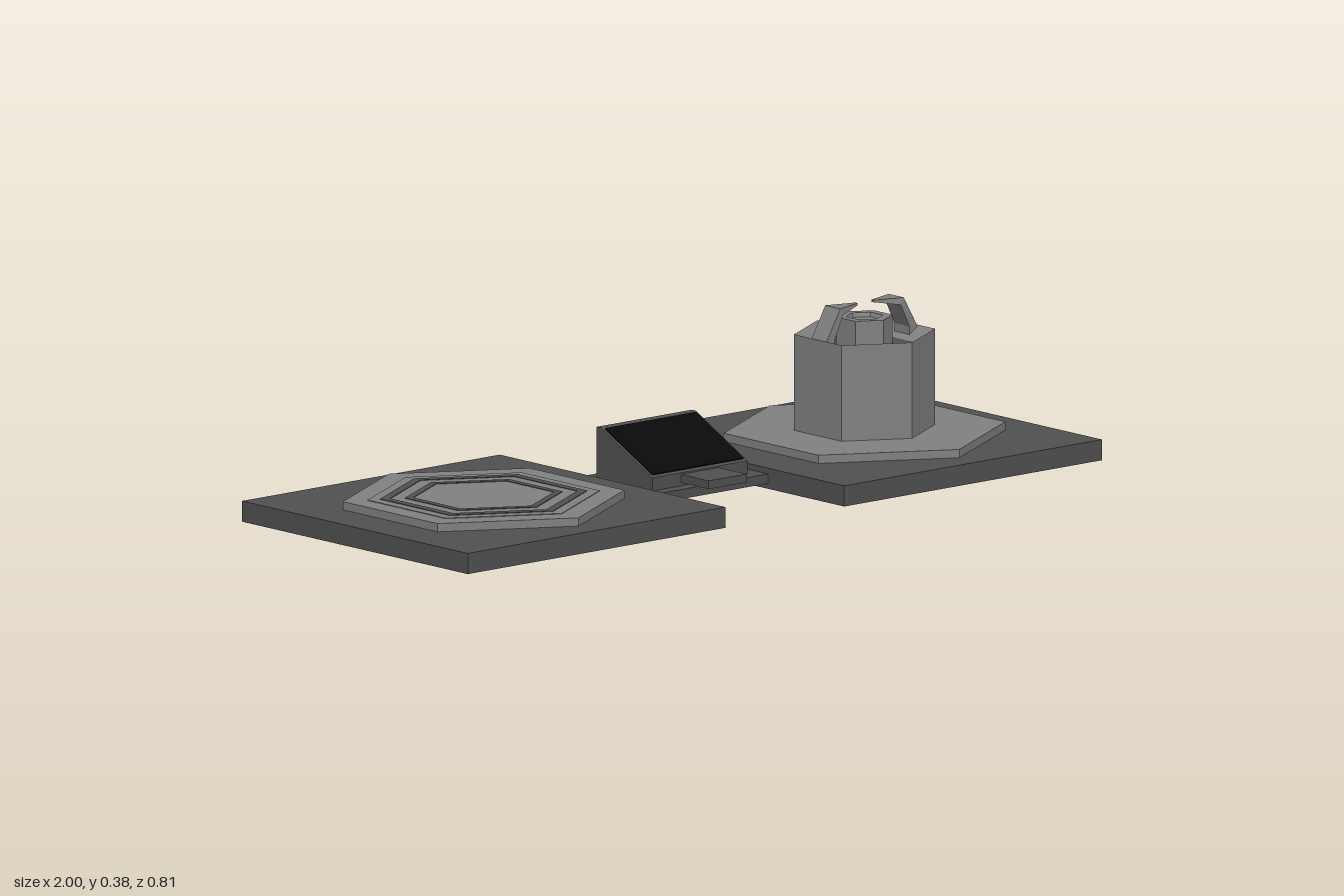
import * as THREE from 'three';

const mat = (color) => new THREE.MeshStandardMaterial({ color, flatShading: true });

export function createModel() {
  const model = new THREE.Group();
  const light = mat(0x808080), dark = mat(0x505050), black = mat(0x0a0a0a);

  const add = (parent, name, geometry, material, x = 0, y = 0, z = 0) => {
    const mesh = new THREE.Mesh(geometry, material);
    mesh.name = name;
    mesh.position.set(x, y, z);
    parent.add(mesh);
    return mesh;
  };
  // Box given by its lower and upper limits
  const box = (parent, name, material, [x0, x1], [y0, y1], [z0, z1]) =>
    add(parent, name, new THREE.BoxGeometry(x1 - x0, y1 - y0, z1 - z0), material,
      (x0 + x1) / 2, (y0 + y1) / 2, (z0 + z1) / 2);
  // Six-sided solid from a profile of [radius, height], corners toward +z and -z
  const hex = (parent, name, material, profile) =>
    add(parent, name, new THREE.LatheGeometry(profile.map(([r, y]) => new THREE.Vector2(r, y)), 6), material);
  // Shape in the xy plane extruded and centred along z
  const slab = (points, depth) => {
    const shape = new THREE.Shape(points.map(([x, y]) => new THREE.Vector2(x, y)));
    return new THREE.ExtrudeGeometry(shape, { depth, bevelEnabled: false }).translate(0, 0, -depth / 2);
  };

  // Two square bases with hexagonal steps
  const stations = [-1, 1].map((side) => {
    const inner = side * 0.187;
    box(model, side < 0 ? 'rightBase' : 'leftBase', dark,
      [Math.min(side, inner), Math.max(side, inner)], [0, 0.05], [-0.405, 0.405]);
    const station = new THREE.Group();
    station.name = side < 0 ? 'landingPad' : 'pedestal';
    station.position.x = side < 0 ? -0.594 : 0.607;
    hex(station, 'hexStep', light, [[0, 0.05], [0.34, 0.05], [0.34, 0.07], [0, 0.07]]);
    model.add(station);
    return station;
  });
  const [pad, pedestal] = stations;

  // Pad surface with two dark hexagonal rings
  hex(pad, 'padPlate', light, [[0.28, 0.07], [0.28, 0.0715], [0, 0.0715]]);
  for (const [outer, inner] of [[0.25, 0.226], [0.19, 0.17]]) {
    hex(pad, 'padRing', dark, [[outer, 0.071], [outer, 0.073], [inner, 0.073], [inner, 0.071]]);
  }

  // Hexagonal pedestal with a sunken top
  hex(pedestal, 'column', light, [[0.17, 0.07], [0.17, 0.302], [0.118, 0.272]]);
  hex(pedestal, 'columnFloor', dark, [[0.118, 0.272], [0, 0.272]]);
  hex(pedestal, 'socket', light,
    [[0.068, 0.272], [0.068, 0.34], [0.045, 0.34], [0.04, 0.33], [0, 0.33]]);

  // Pair of bent claws that taper to a point above the socket
  const clawOutline = [[0.142, 0.285], [0.142, 0.302], [0.1, 0.375], [0.025, 0.375],
    [0.025, 0.37], [0.091, 0.358], [0.118, 0.302], [0.118, 0.272]];
  const clawGeometry = slab(clawOutline, 0.054);
  const p = clawGeometry.attributes.position;
  for (let i = 0; i < p.count; i++) {
    if (p.getX(i) < 0.05) p.setZ(i, p.getZ(i) * 0.15);
  }
  clawGeometry.computeVertexNormals();
  for (const angle of [0, Math.PI]) {
    add(pedestal, 'claw', clawGeometry, light).rotation.y = angle;
  }

  // Control console on the plate that joins the bases
  const desk = new THREE.Group();
  desk.name = 'console';
  model.add(desk);
  box(desk, 'linkPlate', dark, [-0.19, 0.19], [0.013, 0.036], [-0.14, 0.132]);
  const side = [[-0.1, 0.036], [0.1, 0.036], [0.1, 0.068], [-0.085, 0.16], [-0.1, 0.16]];
  // The outline runs along z, so the slab is turned to face the front
  add(desk, 'consoleBody', slab(side, 0.3), dark).rotation.y = -Math.PI / 2;
  const slope = Math.atan2(0.092, 0.185);
  const screen = add(desk, 'screen', new THREE.BoxGeometry(0.286, 0.006, 0.19), black, 0, 0.115, 0.0075);
  screen.rotation.x = slope;
  box(desk, 'keyTray', dark, [-0.06, 0.06], [0.044, 0.064], [0.09, 0.2]);

  return model;
}
